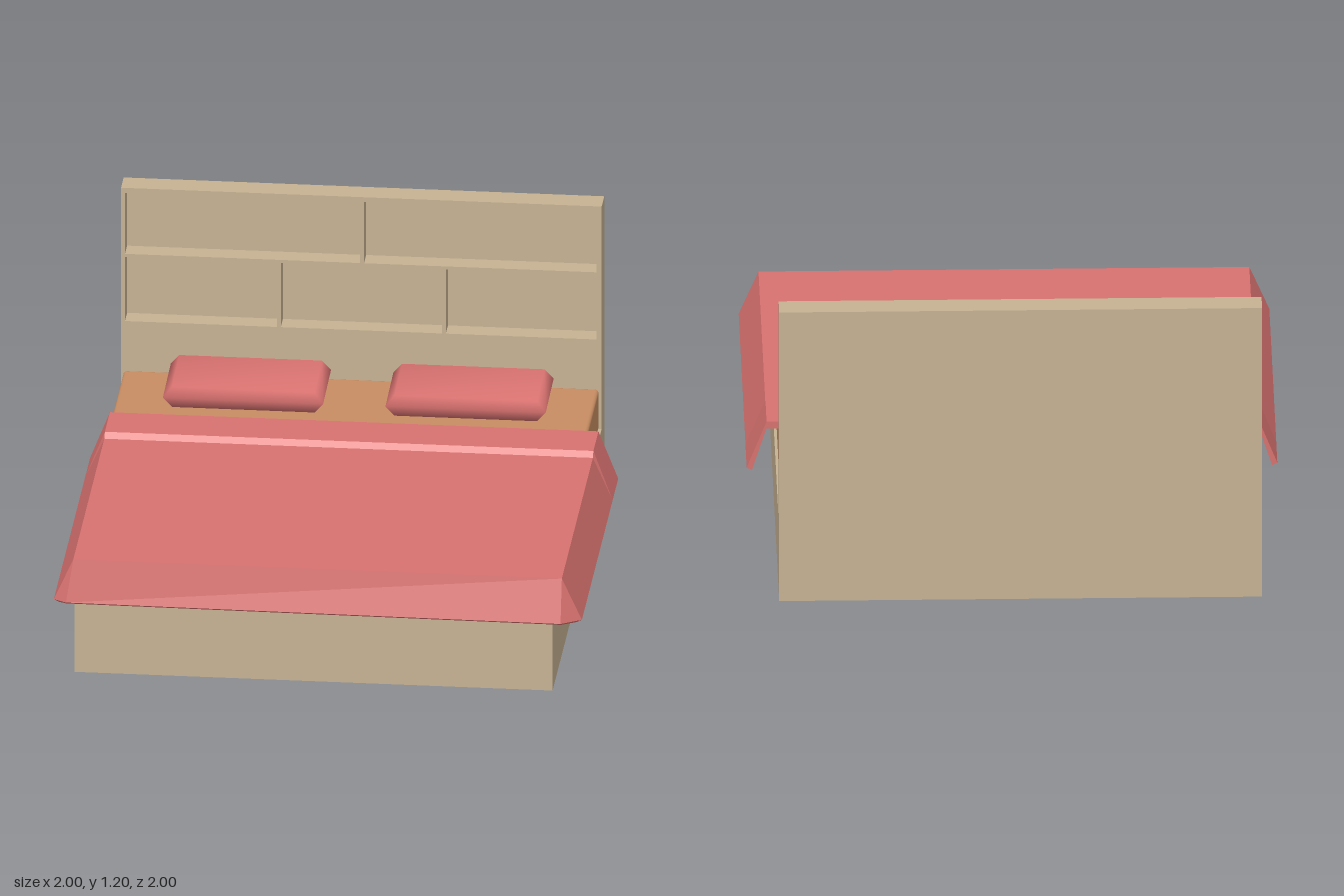
import * as THREE from 'three';
import { mergeVertices } from 'three/addons/utils/BufferGeometryUtils.js';
import { RoundedBoxGeometry } from 'three/addons/geometries/RoundedBoxGeometry.js';

const wood = new THREE.MeshStandardMaterial({ color: 0xc6b292 });
const ticking = new THREE.MeshStandardMaterial({ color: 0xc88d62 });
const pillowCloth = new THREE.MeshStandardMaterial({ color: 0xd87270 });
const blanketCloth = new THREE.MeshStandardMaterial({ color: 0xd87270, flatShading: true, side: THREE.DoubleSide });

function add(parent, name, geometry, material, x = 0, y = 0, z = 0) {
  const mesh = new THREE.Mesh(geometry, material);
  mesh.name = name;
  mesh.position.set(x, y, z);
  parent.add(mesh);
  return mesh;
}

// Rectangle outline from its limits
function rect(Type, x0, x1, y0, y1) {
  return new Type([[x0, y0], [x1, y0], [x1, y1], [x0, y1]].map(p => new THREE.Vector2(...p)));
}

// Headboard: a thin back panel behind a shelf frame with open cubbies
function buildHeadboard() {
  const group = new THREE.Group();
  group.name = 'headboard';
  const frame = rect(THREE.Shape, -0.93, 0.89, 0, 1.2);
  const rows = [
    { y: [0.93, 1.18], cells: [[-0.915, -0.025], [-0.01, 0.87]] },
    { y: [0.655, 0.918], cells: [[-0.915, -0.34], [-0.325, 0.285], [0.3, 0.87]] },
  ];
  for (const { y, cells } of rows)
    for (const [x0, x1] of cells) frame.holes.push(rect(THREE.Path, x0, x1, ...y));
  add(group, 'shelfFrame', new THREE.ExtrudeGeometry(frame, { depth: 0.08, bevelEnabled: false }), wood, 0, 0, -0.98);
  add(group, 'backPanel', new THREE.BoxGeometry(1.82, 1.2, 0.02), wood, -0.02, 0.6, -0.99);
  return group;
}

// Blanket: top sheet with a raised fold, and flared side and front flaps with a hem
function buildBlanket() {
  // Each station runs from top edge to hem, lip and inside
  const side = (s, z, top, zHem = z) => [
    [s * 0.925, top, z], [s, 0.29, zHem], [s * 0.98, 0.28, zHem], [s * 0.92, top - 0.01, z],
  ];
  const front = (s, xHem, zHem) => [
    [s * 0.925, 0.46, 0.95], [s * xHem, 0.295, zHem], [s * xHem, 0.283, zHem - 0.02], [s * 0.92, 0.45, 0.945],
  ];
  const edge = s => [side(s, -0.43, 0.48), side(s, -0.24, 0.48), side(s, -0.22, 0.46), side(s, 0.95, 0.46, 0.94)];
  const right = edge(-1), left = edge(1);
  const ring = [...left, front(1, 0.925, 1), front(-1, 0.95, 0.98), ...right.slice().reverse()];

  const positions = [];
  const quad = (a, b, c, d) => positions.push(...a, ...b, ...c, ...a, ...c, ...d);
  // Flaps
  for (let i = 0; i < ring.length - 1; i++)
    for (let j = 0; j < 3; j++) quad(ring[i][j], ring[i + 1][j], ring[i + 1][j + 1], ring[i][j + 1]);
  // Top sheet
  for (let k = 0; k < 3; k++) quad(left[k][0], right[k][0], right[k + 1][0], left[k + 1][0]);
  // Closed ends at the folded edge
  quad(...left[0]);
  quad(...right[0].slice().reverse());
  quad([0.925, 0.48, -0.43], [0.925, 0.452, -0.43], [-0.925, 0.452, -0.43], [-0.925, 0.48, -0.43]);

  const geometry = new THREE.BufferGeometry();
  geometry.setAttribute('position', new THREE.Float32BufferAttribute(positions, 3));
  geometry.computeVertexNormals();
  return geometry;
}

// Pillow: a box pinched at its top and bottom, with soft normals
function buildPillow() {
  const box = new THREE.BoxGeometry(0.607, 0.084, 0.3, 1, 2, 1);
  box.deleteAttribute('normal');
  box.deleteAttribute('uv');
  const geometry = mergeVertices(box);
  const p = geometry.attributes.position;
  for (let i = 0; i < p.count; i++) {
    if (Math.abs(p.getY(i)) > 0.01) {
      p.setX(i, p.getX(i) * 0.89);
      p.setZ(i, p.getZ(i) * 0.93);
    }
  }
  geometry.computeVertexNormals();
  return geometry;
}

export function createModel() {
  const bed = new THREE.Group();
  bed.name = 'bed';
  bed.add(buildHeadboard());
  add(bed, 'base', new THREE.BoxGeometry(1.81, 0.29, 1.85), wood, -0.015, 0.145, 0.025);
  add(bed, 'mattress', new RoundedBoxGeometry(1.8, 0.165, 1.84, 2, 0.014), ticking, -0.02, 0.3725, 0.02);
  add(bed, 'blanket', buildBlanket(), blanketCloth);
  const pillow = buildPillow();
  for (const [name, x] of [['rightPillow', -0.433], ['leftPillow', 0.41]])
    add(bed, name, pillow, pillowCloth, x, 0.504, -0.698).rotation.x = 0.045;
  return bed;
}
